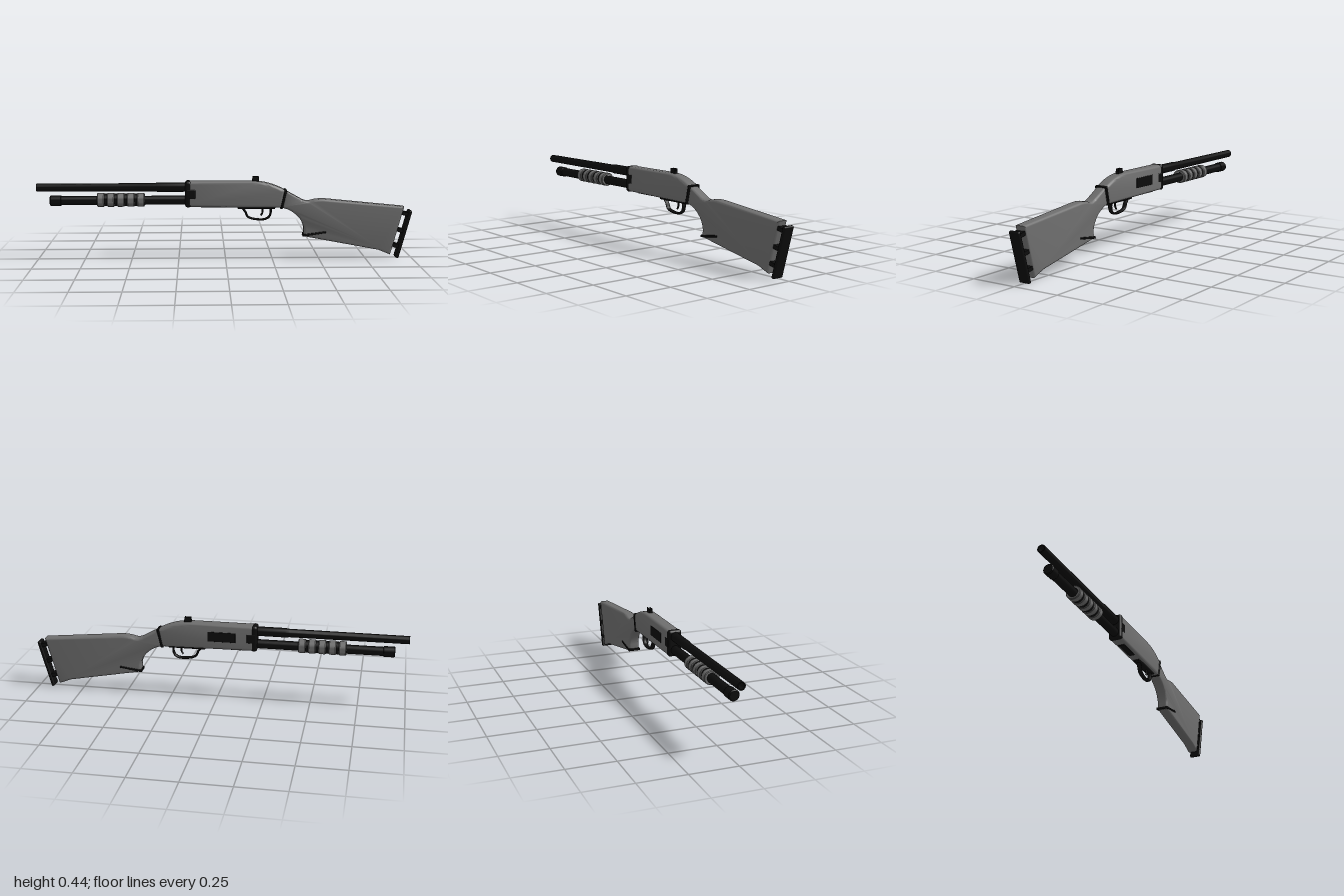
import * as THREE from 'three';
import { toCreasedNormals } from 'three/addons/utils/BufferGeometryUtils.js';
import { RoundedBoxGeometry } from 'three/addons/geometries/RoundedBoxGeometry.js';

const grey = new THREE.MeshStandardMaterial({ color: 0x6e6e6e });
const black = new THREE.MeshStandardMaterial({ color: 0x0c0c0c });

export function createModel() {
  const model = new THREE.Group();

  function add(name, geometry, material, x = 0, y = 0, z = 0) {
    const mesh = new THREE.Mesh(geometry, material);
    mesh.name = name;
    mesh.position.set(x, y, z);
    model.add(mesh);
    return mesh;
  }

  // Side outline in x, y made into a slab with rounded edges, centred on z = 0
  function slab(name, shape, halfWidth, bevel, material) {
    const geometry = new THREE.ExtrudeGeometry(shape, {
      depth: 2 * (halfWidth - bevel), curveSegments: 8, bevelEnabled: true,
      bevelSize: bevel, bevelThickness: bevel, bevelOffset: -bevel, bevelSegments: 4,
    });
    geometry.translate(0, 0, bevel - halfWidth);
    return add(name, toCreasedNormals(geometry, 0.6), material);
  }
  const polygon = (pts) => new THREE.Shape(pts.map(([x, y]) => new THREE.Vector2(x, y)));

  // Turned part along x from [radius, x] points
  function turned(name, profile, y, material, sides = 24) {
    const geometry = new THREE.LatheGeometry(profile.map(([r, x]) => new THREE.Vector2(r, x)), sides);
    geometry.rotateZ(-Math.PI / 2);
    return add(name, toCreasedNormals(geometry, 0.6), material, 0, y, 0);
  }

  // Barrel with an open bore, slightly thicker near the receiver
  turned('barrel', [[0, -0.9], [0.015, -0.9], [0.015, -1], [0.021, -1], [0.022, -0.38],
    [0.025, -0.36], [0.025, -0.19]], 0.387, black);

  // Magazine tube and its end cap
  turned('magazineTube', [[0, -0.93], [0.024, -0.93], [0.028, -0.925], [0.028, -0.872],
    [0.024, -0.87], [0.024, -0.19]], 0.317, black);

  // Ribbed fore grip
  turned('foreGripSleeve', [[0.024, -0.675], [0.033, -0.675], [0.033, -0.435], [0.024, -0.435]], 0.32, black);
  for (let i = 0; i < 5; i++) {
    const a = -0.68 + i * 0.053, b = a + 0.038;
    turned('foreGripRib', [[0.024, a], [0.034, a], [0.037, a + 0.004], [0.037, b - 0.004],
      [0.034, b], [0.024, b]], 0.32, grey).scale.z = 1.1;
  }

  // Receiver
  const receiver = new THREE.Shape();
  receiver.moveTo(-0.2, 0.283);
  receiver.lineTo(0.298, 0.277);
  receiver.lineTo(0.318, 0.37);
  receiver.quadraticCurveTo(0.235, 0.418, 0.14, 0.419);
  receiver.lineTo(-0.2, 0.419);
  receiver.closePath();
  slab('receiver', receiver, 0.035, 0.016, grey);

  // Collar at the front of the receiver, with a tongue on each side
  add('frontCollar', new RoundedBoxGeometry(0.033, 0.14, 0.073, 4, 0.014), black, -0.198, 0.351, 0);
  add('collarTongue', new RoundedBoxGeometry(0.05, 0.05, 0.074, 2, 0.006), black, -0.183, 0.352, 0);

  // Ejection port on the right and loading port below
  add('ejectionPort', new RoundedBoxGeometry(0.15, 0.053, 0.004, 2, 0.0015), black, -0.025, 0.352, -0.035);
  add('loadingPort', new RoundedBoxGeometry(0.14, 0.006, 0.036, 2, 0.002), black, -0.06, 0.282, 0);

  // Band between receiver and stock
  slab('stockBand', polygon([[0.291, 0.273], [0.303, 0.273], [0.326, 0.371], [0.314, 0.375]]), 0.037, 0.005, black);

  // Stock
  const stock = new THREE.Shape();
  stock.moveTo(0.3, 0.277);
  stock.bezierCurveTo(0.38, 0.26, 0.43, 0.19, 0.417, 0.14);
  stock.lineTo(0.422, 0.121);
  stock.lineTo(0.82, 0.046);
  stock.lineTo(0.885, 0.02);
  stock.lineTo(0.955, 0.28);
  stock.lineTo(0.53, 0.322);
  stock.quadraticCurveTo(0.48, 0.324, 0.45, 0.313);
  stock.quadraticCurveTo(0.425, 0.308, 0.4, 0.324);
  stock.lineTo(0.322, 0.367);
  stock.closePath();
  slab('stock', stock, 0.03, 0.013, grey);

  // Slanted strip wrapped around the foot of the grip
  slab('gripStrip', polygon([[0.413, 0.122], [0.43, 0.124], [0.535, 0.14], [0.535, 0.15], [0.413, 0.134]]),
    0.034, 0.003, black);

  // Butt pad on short spacers, tilted like the end of the stock
  const tilt = -Math.atan2(0.07, 0.26);
  add('buttPad', new RoundedBoxGeometry(0.018, 0.266, 0.062, 4, 0.007), black, 0.955, 0.131, 0).rotation.z = tilt;
  for (const [x, y] of [[0.958, 0.242], [0.934, 0.152], [0.908, 0.07]]) {
    add('padSpacer', new THREE.BoxGeometry(0.05, 0.02, 0.05), black, x, y, 0).rotation.z = tilt;
  }

  // Trigger guard and trigger
  add('guardPlate', new RoundedBoxGeometry(0.2, 0.012, 0.036, 2, 0.004), black, 0.165, 0.276, 0);
  const guardPath = new THREE.CatmullRomCurve3([[0.085, 0.278], [0.105, 0.255], [0.118, 0.228], [0.14, 0.217],
    [0.205, 0.212], [0.232, 0.225], [0.242, 0.25], [0.24, 0.278]].map(([x, y]) => new THREE.Vector3(x, y, 0)));
  const guard = add('triggerGuard', new THREE.TubeGeometry(guardPath, 40, 0.006, 8), black);
  guard.scale.z = 2.2;
  const triggerPath = new THREE.QuadraticBezierCurve3(new THREE.Vector3(0.195, 0.278, 0),
    new THREE.Vector3(0.205, 0.25, 0), new THREE.Vector3(0.188, 0.233, 0));
  add('trigger', new THREE.TubeGeometry(triggerPath, 10, 0.005, 8), black);

  // Rear sight with a notch
  add('sightBase', new THREE.BoxGeometry(0.038, 0.016, 0.018), black, 0.16, 0.422, 0);
  for (const side of [-1, 1]) {
    add('sightProng', new THREE.BoxGeometry(0.034, 0.026, 0.004), black, 0.16, 0.43, side * 0.007);
  }

  return model;
}
